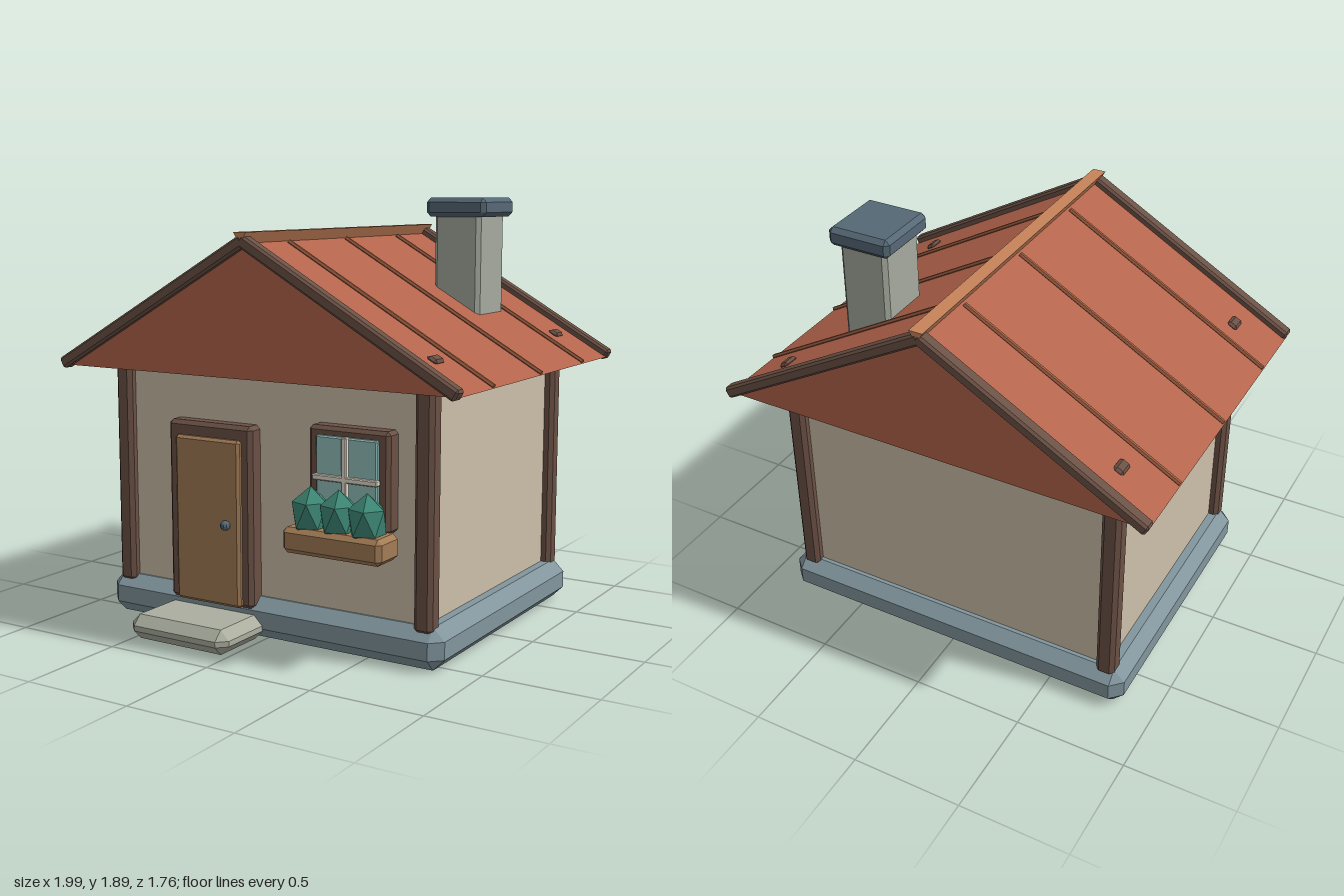
import * as THREE from 'three';
import { ConvexGeometry } from 'three/addons/geometries/ConvexGeometry.js';

const mat = (color) => new THREE.MeshStandardMaterial({ color, flatShading: true });
const M = {
  wall: mat(0xcdc0aa), stone: mat(0x82969e), wood: mat(0x6b5145), roof: mat(0xb3644c),
  ridge: mat(0xc8835a), rib: mat(0x9c5d40), door: mat(0xa37c56), glass: mat(0x93c1bd),
  cream: mat(0xe8dfd0), leaf: mat(0x3d8875), chimney: mat(0xa6aa9f), slate: mat(0x566876),
  step: mat(0xabae9f),
};

// Box with every edge chamfered by b
function chamferBox(w, h, d, b) {
  const pts = [];
  for (const x of [-1, 1]) for (const y of [-1, 1]) for (const z of [-1, 1]) {
    for (let k = 0; k < 3; k++) {
      pts.push(new THREE.Vector3(
        x * (w / 2 - (k === 0 ? 0 : b)),
        y * (h / 2 - (k === 1 ? 0 : b)),
        z * (d / 2 - (k === 2 ? 0 : b))));
    }
  }
  return new ConvexGeometry(pts);
}

export function createModel() {
  const house = new THREE.Group();
  house.name = 'cottage';
  const CZ = -0.07; // middle of the house in z

  const add = (name, geo, material, x = 0, y = 0, z = 0, parent = house) => {
    const m = new THREE.Mesh(geo, material);
    m.name = name;
    m.position.set(x, y, z);
    parent.add(m);
    return m;
  };
  // Chamfered block given by its extents on each axis
  const block = (name, material, [x0, x1], [y0, y1], [z0, z1], b, parent = house) =>
    add(name, chamferBox(x1 - x0, y1 - y0, z1 - z0, b), material,
      (x0 + x1) / 2, (y0 + y1) / 2, (z0 + z1) / 2, parent);
  const group = (name) => {
    const g = new THREE.Group();
    g.name = name;
    house.add(g);
    return g;
  };

  // Base, walls and corner posts
  block('foundation', M.stone, [-0.855, 0.855], [0, 0.18], [-0.74, 0.6], 0.052);
  add('walls', new THREE.BoxGeometry(1.53, 1.03, 1.21), M.wall, 0, 0.655, CZ + 0.005);
  const posts = group('cornerPosts');
  for (const x of [-0.765, 0.765]) for (const z of [-0.667, 0.537]) {
    block('cornerPost', M.wood, [x - 0.043, x + 0.043], [0.15, 1.2], [z - 0.043, z + 0.043], 0.018, posts);
  }
  block('doorstep', M.step, [-0.515, 0], [0, 0.108], [0.555, 0.885], 0.042);

  // Roof prism with flat underside
  const eaveX = 0.985, eaveY = 1.15, apexY = 1.712;
  const slope = (apexY - eaveY) / eaveX, pitch = Math.atan(slope);
  const roofY = (x) => apexY - slope * Math.abs(x);
  const gable = new THREE.Shape([
    new THREE.Vector2(-eaveX, eaveY), new THREE.Vector2(eaveX, eaveY), new THREE.Vector2(0, apexY)]);
  add('roof', new THREE.ExtrudeGeometry(gable, { depth: 1.56, bevelEnabled: false }), M.roof, 0, 0, CZ - 0.78);
  add('ridgeCap', new THREE.CylinderGeometry(0.036, 0.036, 1.615, 3).rotateX(Math.PI / 2), M.ridge, 0, 1.737, CZ);

  // Trim that repeats on both slopes
  const trim = group('roofTrim');
  const boardGeo = chamferBox(1.145, 0.052, 0.06, 0.01);
  const ribGeo = new THREE.CylinderGeometry(0.011, 0.011, 1.11, 6).rotateZ(Math.PI / 2);
  const cleatGeo = chamferBox(0.05, 0.024, 0.078, 0.011);
  for (const s of [-1, 1]) {
    const lay = (name, geo, material, x, lift, z) => {
      add(name, geo, material, s * x, roofY(x) + lift, z, trim).rotation.z = -s * pitch;
    };
    for (const z of [0.71, -0.85]) lay('bargeBoard', boardGeo, M.wood, 0.488, 0.006, z);
    for (const z of [0.4, -0.07, -0.54]) lay('roofRib', ribGeo, M.rib, 0.5, 0.005, z);
    for (const z of [0.53, -0.68]) lay('roofCleat', cleatGeo, M.wood, 0.79, 0.004, z);
  }

  // Chimney
  block('chimney', M.chimney, [0.37, 0.596], [1.25, 1.83], [-0.51, -0.25], 0.018);
  block('chimneyCap', M.slate, [0.336, 0.631], [1.805, 1.89], [-0.54, -0.225], 0.02);

  // Door
  const door = group('door');
  block('doorFrame', M.wood, [-0.485, -0.043], [0.13, 0.932], [0.5, 0.612], 0.018, door);
  block('doorPanel', M.door, [-0.432, -0.092], [0.135, 0.87], [0.56, 0.635], 0.012, door);
  add('doorKnob', new THREE.SphereGeometry(0.022, 10, 8), M.slate, -0.155, 0.5, 0.648, door);

  // Window with crossing glazing bars
  const win = group('window');
  block('windowFrame', M.wood, [0.248, 0.632], [0.55, 0.972], [0.5, 0.615], 0.016, win);
  block('windowGlass', M.glass, [0.295, 0.585], [0.59, 0.935], [0.56, 0.632], 0.006, win);
  block('glazingBar', M.cream, [0.428, 0.452], [0.59, 0.938], [0.62, 0.652], 0.004, win);
  block('glazingBar', M.cream, [0.288, 0.594], [0.752, 0.776], [0.62, 0.652], 0.004, win);

  // Planter and shrubs, each an icosahedron standing on its point
  block('planterBox', M.door, [0.21, 0.675], [0.458, 0.566], [0.6, 0.765], 0.02);
  const shrubGeo = new THREE.IcosahedronGeometry(1, 0)
    .rotateZ(-Math.atan(2 / (1 + Math.sqrt(5))))
    .scale(0.086, 0.115, 0.086);
  for (const x of [0.305, 0.44, 0.572]) add('shrub', shrubGeo, M.leaf, x, 0.618, 0.685);

  return house;
}
